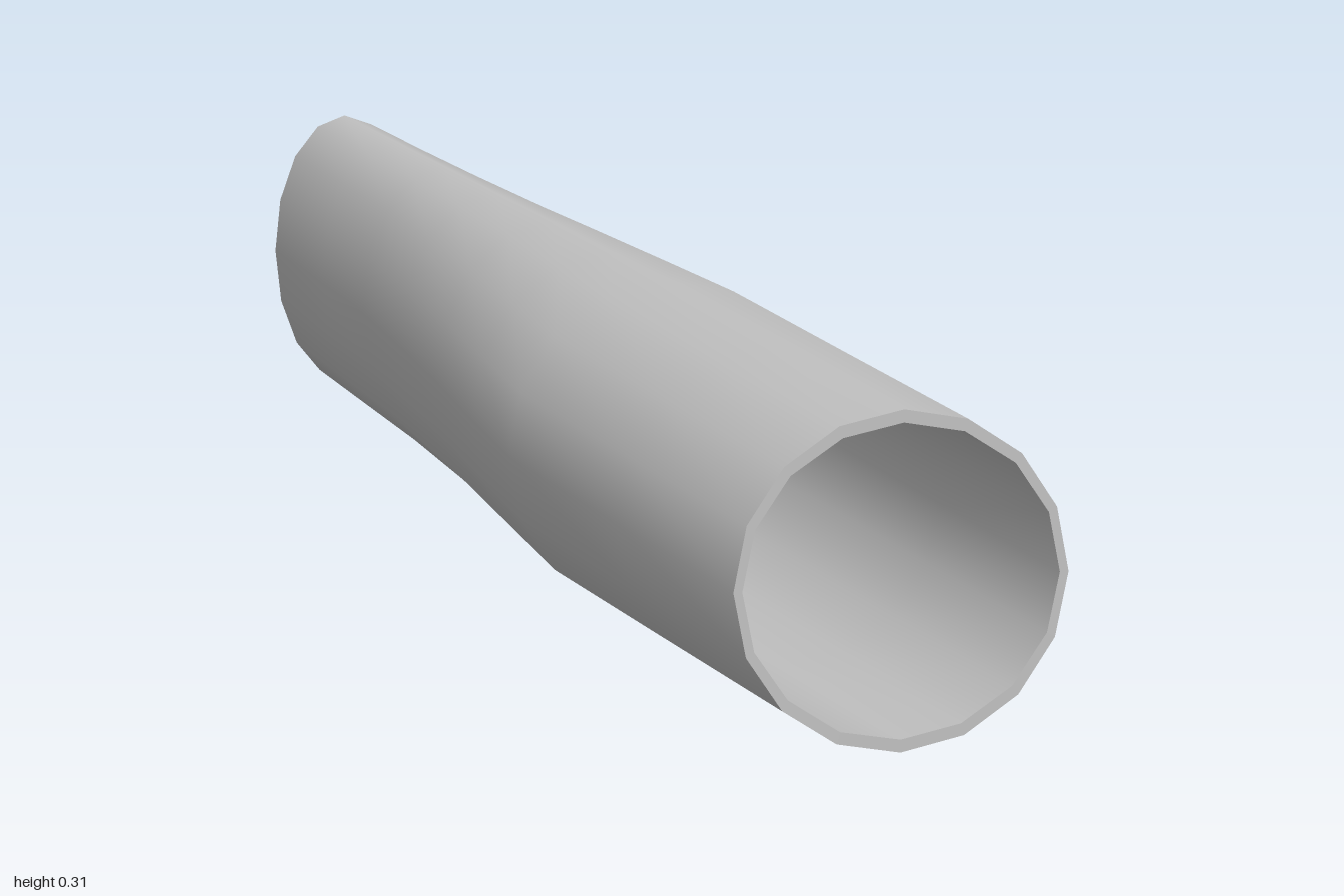
import * as THREE from 'three';

const SIDES = 16;
// Pipe stations, front to back: z, half width, half height, centre height
const STATIONS = [
  [1.0, 0.146, 0.144, 0.161],
  [0.7, 0.152, 0.149, 0.159],
  [0.38, 0.157, 0.155, 0.157],
  [0.2, 0.141, 0.154, 0.158],
  [0.0, 0.121, 0.153, 0.159],
  [-0.2, 0.104, 0.152, 0.159],
  [-0.4, 0.09, 0.151, 0.16],
  [-0.6, 0.083, 0.151, 0.16],
  [-0.82, 0.081, 0.15, 0.161],
];
const WALL = 0.011;

// Joins elliptical rings [z, rx, ry, cy] into a smooth skin
function loft(rings, flip = false) {
  const pos = [], index = [];
  for (const [z, rx, ry, cy] of rings) {
    for (let i = 0; i < SIDES; i++) {
      const a = (i / SIDES) * Math.PI * 2;
      pos.push(rx * Math.cos(a), cy + ry * Math.sin(a), z);
    }
  }
  for (let r = 0; r < rings.length - 1; r++) {
    for (let i = 0; i < SIDES; i++) {
      const j = (i + 1) % SIDES;
      const a = r * SIDES + i, b = r * SIDES + j;
      const c = a + SIDES, d = b + SIDES;
      if (flip) index.push(a, b, c, b, d, c);
      else index.push(a, c, b, b, c, d);
    }
  }
  const g = new THREE.BufferGeometry();
  g.setAttribute('position', new THREE.Float32BufferAttribute(pos, 3));
  g.setIndex(index);
  g.computeVertexNormals();
  return g;
}

export function createModel() {
  const model = new THREE.Group();
  model.name = 'pipeWithSpikes';
  const metal = new THREE.MeshStandardMaterial({ color: 0xc0c0c0 });
  metal.name = 'grey metal';
  const add = (name, geometry, parent = model) => {
    const mesh = new THREE.Mesh(geometry, metal);
    mesh.name = name;
    parent.add(mesh);
    return mesh;
  };

  // Flattened pipe: outer skin, inner skin and the two rims
  const pipe = new THREE.Group();
  pipe.name = 'pipe';
  model.add(pipe);
  const inner = STATIONS.map(([z, rx, ry, cy]) => [z, rx - WALL * 0.7, ry - WALL, cy]);
  const last = STATIONS.length - 1;
  add('outerWall', loft(STATIONS), pipe);
  add('innerWall', loft(inner, true), pipe);
  add('frontRim', loft([inner[0], STATIONS[0]]), pipe);
  add('backRim', loft([STATIONS[last], inner[last]]), pipe);

  // Hexagonal spikes at the narrow end: base x, base y, tip z
  const spikes = [
    [-0.053, 0.189, -0.92],
    [-0.028, 0.217, -0.96],
    [0.056, 0.177, -0.89],
    [0.0, 0.12, -1.0],
    [0.042, 0.108, -0.87],
  ];
  const LENGTH = 0.3;
  const profile = [[0, 0], [0.019, 0], [0.0155, 0.12], [0.01, 0.21], [0, LENGTH]]
    .map(([r, h]) => new THREE.Vector2(r, h));
  const spikeGeometry = new THREE.LatheGeometry(profile, 6).toNonIndexed();
  spikeGeometry.rotateX(-Math.PI / 2);
  // Lean the spike up and to the left towards its tip
  const p = spikeGeometry.attributes.position;
  for (let i = 0; i < p.count; i++) {
    const t = -p.getZ(i) / LENGTH;
    p.setXY(i, p.getX(i) + 0.026 * t, p.getY(i) + 0.027 * t);
  }
  spikeGeometry.computeVertexNormals();
  for (const [x, y, tip] of spikes) {
    add('spike', spikeGeometry).position.set(x, y, tip + LENGTH);
  }

  return model;
}
